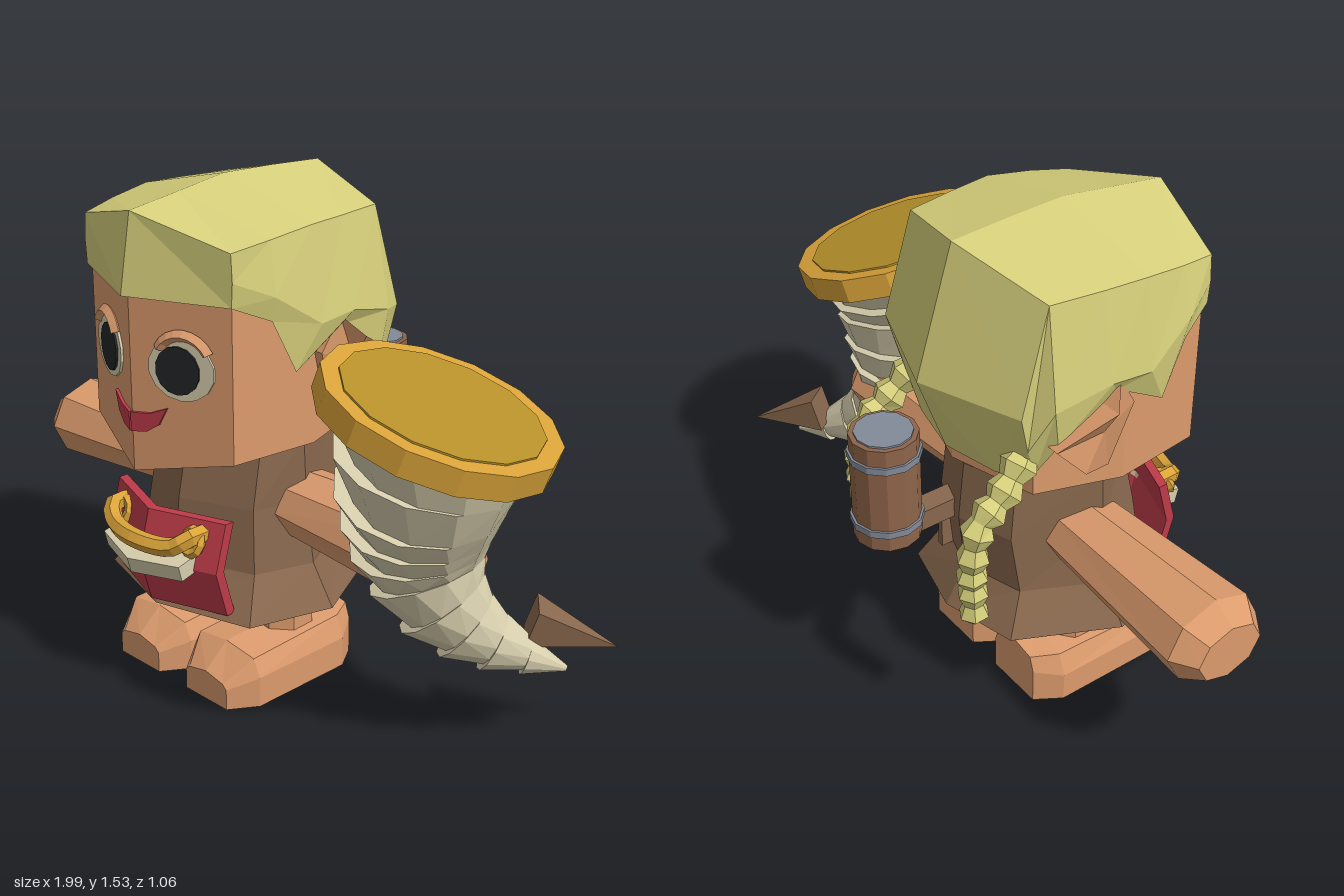
import * as THREE from 'three';

const mat = (name, color, side = THREE.FrontSide) =>
  new THREE.MeshStandardMaterial({ name, color, side, flatShading: true });
const V = (x, y, z) => new THREE.Vector3(x, y, z);

// Skin consecutive rows of points; closed rows are capped and turned outward.
function loft(rows, closed = true) {
  const tris = [], n = rows[0].length;
  const tri = (a, b, c) => tris.push([a, b, c]);
  for (let i = 0; i < rows.length - 1; i++) {
    for (let j = 0; j < (closed ? n : n - 1); j++) {
      const k = (j + 1) % n;
      tri(rows[i][j], rows[i][k], rows[i + 1][k]);
      tri(rows[i][j], rows[i + 1][k], rows[i + 1][j]);
    }
  }
  if (closed) {
    for (const [row, flip] of [[rows[0], true], [rows[rows.length - 1], false]]) {
      const c = row.reduce((s, p) => s.add(p), V(0, 0, 0)).divideScalar(n);
      row.forEach((p, j) => {
        const q = row[(j + 1) % n];
        flip ? tri(c, q, p) : tri(c, p, q);
      });
    }
    const volume = tris.reduce((s, [a, b, c]) => s + a.dot(b.clone().cross(c)), 0);
    if (volume < 0) tris.forEach(t => t.reverse());
  }
  const g = new THREE.BufferGeometry().setFromPoints(tris.flat());
  g.computeVertexNormals();
  return g;
}

// Full ring from the +x half of an outline that starts and ends on x = 0.
const mirrorRing = half =>
  [...half, ...half.slice(1, -1).reverse().map(p => V(-p.x, p.y, p.z))];

// Rings swept along a path; a step below 1 notches the outer side of the bend.
function sweep(points, radii, sides, ref, step = 1) {
  const curve = new THREE.CatmullRomCurve3(points);
  const rows = [];
  radii.forEach((r, i) => {
    const t = i / (radii.length - 1), c = curve.getPoint(t), d = curve.getTangent(t);
    const u = ref.clone().cross(d).normalize(), v = d.clone().cross(u);
    const ring = rr => Array.from({ length: sides }, (_, k) => {
      const a = (k / sides) * Math.PI * 2;
      return c.clone().addScaledVector(u, r - rr + rr * Math.cos(a)).addScaledVector(v, rr * Math.sin(a));
    });
    if (step !== 1 && i > 0) rows.push(ring(r * step));
    rows.push(ring(r));
  });
  return loft(rows);
}

// Box folded into a V around x = 0, optionally bulging at half height.
function foldedBox(w, h, d, slope, bulge = 0) {
  const g = new THREE.BoxGeometry(w, h, d, 2, 2, 1), p = g.attributes.position;
  for (let i = 0; i < p.count; i++)
    p.setZ(i, p.getZ(i) - slope * Math.abs(p.getX(i)) + bulge * (1 - 2 * Math.abs(p.getY(i)) / h));
  g.computeVertexNormals();
  return g;
}

function plate(points, depth) {
  const shape = new THREE.Shape(points.map(p => new THREE.Vector2(...p)));
  return new THREE.ExtrudeGeometry(shape, { depth, bevelEnabled: false });
}

export function createModel() {
  const skin = mat('skin', 0xdc9b6d), hairMat = mat('blondeHair', 0xd6cf7b, THREE.DoubleSide);
  const ivory = mat('ivory', 0xd7cead), gold = mat('gold', 0xdaa339), mead = mat('darkGold', 0xb7912b);
  const leather = mat('leather', 0x88674d), wood = mat('wood', 0x8e6449), red = mat('red', 0xbd3b48);
  const steel = mat('steel', 0x838b99), black = mat('black', 0x232527);

  const model = new THREE.Group();
  const body = new THREE.Group();
  body.name = 'character';
  body.position.x = -0.15;
  model.add(body);
  const add = (parent, name, geometry, material, x = 0, y = 0, z = 0) => {
    const m = new THREE.Mesh(geometry, material);
    m.name = name;
    m.position.set(x, y, z);
    parent.add(m);
    return m;
  };

  // Head, with a ridge down the middle of the face
  const headRing = (yf, ys, yb, k = 1) => mirrorRing([
    V(0, yf, 0.49 * k), V(0.3 * k, ys, 0.38 * k), V(0.33 * k, ys, 0.1 * k),
    V(0.27 * k, yb, -0.17 * k), V(0, yb, -0.25 * k)]);
  add(body, 'head', loft([headRing(0.735, 0.805, 0.83), headRing(1.28, 1.27, 1.2),
    headRing(1.4, 1.35, 1.35, 0.8)]), skin);

  // Hair cap: each row runs bottom, middle, top, crown
  const hairRows = [
    [[0.31, 1.26, 0.39], [0.31, 1.26, 0.39], [0.31, 1.26, 0.39], [0, 1.255, 0.515]],
    [[0.31, 1.26, 0.39], [0.315, 1.33, 0.39], [0.31, 1.41, 0.39], [0, 1.485, 0.475]],
    [[0.35, 1.21, 0.28], [0.365, 1.28, 0.28], [0.335, 1.43, 0.27], [0, 1.51, 0.3]],
    [[0.36, 1.05, 0.2], [0.39, 1.18, 0.13], [0.35, 1.45, 0.13], [0, 1.535, 0.13]],
    [[0.365, 1.15, 0.03], [0.385, 1.19, 0], [0.335, 1.45, 0], [0, 1.53, -0.05]],
    [[0.35, 1.03, -0.15], [0.36, 1.15, -0.17], [0.31, 1.45, -0.16], [0, 1.52, -0.24]],
    [[0.29, 0.92, -0.18], [0.31, 1.02, -0.22], [0.32, 1.14, -0.25], [0, 1.13, -0.36]],
    [[0.29, 0.92, -0.18], [0.26, 0.9, -0.2], [0.18, 0.88, -0.23], [0, 0.88, -0.27]],
  ].map(row => {
    const half = row.map(p => V(...p));
    return [...half, ...half.slice(0, -1).reverse().map(p => V(-p.x, p.y, p.z))];
  });
  add(body, 'hair', loft(hairRows, false), hairMat);

  // Tunic with flared skirt
  const tunicRing = (y, w, zf, zb) => mirrorRing([V(0, y, zf), V(w * 0.8, y, zf - 0.09),
    V(w, y, 0.08), V(w * 0.62, y, zb + 0.06), V(0, y, zb)]);
  add(body, 'tunic', loft([tunicRing(0.29, 0.39, 0.43, -0.28), tunicRing(0.41, 0.31, 0.35, -0.21),
    tunicRing(0.6, 0.28, 0.33, -0.23), tunicRing(0.79, 0.27, 0.29, -0.21),
    tunicRing(0.84, 0.18, 0.22, -0.12)]), leather);

  for (const s of [1, -1]) {
    const side = s > 0 ? 'left' : 'right';

    // Eye, lid and half of the mouth lie on one slanted half of the face
    const face = new THREE.Group();
    face.name = side + 'Face';
    face.position.z = 0.491;
    face.rotation.y = s * 0.35;
    body.add(face);
    const disc = r => new THREE.CylinderGeometry(r, r, 0.008, 14).rotateX(Math.PI / 2);
    add(face, side + 'Eye', disc(0.104).scale(1, 0.87, 1), ivory, s * 0.164, 1.062, 0.002);
    add(face, side + 'Pupil', disc(0.069).scale(1, 1.02, 1), black, s * 0.155, 1.06, 0.008);
    add(face, side + 'Eyelid', new THREE.TorusGeometry(0.085, 0.018, 4, 8, Math.PI * 0.7)
      .rotateZ(Math.PI * 0.15).scale(1, 0.95, 1), skin, s * 0.172, 1.08, 0.004);
    add(face, side + 'Mouth', plate([[0, 0.915], [s * 0.06, 0.92], [s * 0.117, 0.943],
      [s * 0.09, 0.89], [s * 0.05, 0.864], [0, 0.858]], 0.009), red);

    // Ear: [y, z, outer x], peaking just below the hair notch
    const ear = [[1.08, 0.1, 0.36], [1.18, 0.04, 0.37], [1.12, -0.01, 0.425],
      [1.03, -0.17, 0.37], [0.93, -0.08, 0.385], [0.88, 0.04, 0.335]];
    add(body, side + 'Ear', loft([ear.map(([y, z]) => V(s * 0.28, y, z)),
      ear.map(([y, z, x]) => V(s * x, y, z))]), skin);

    // Braid made of knots
    const braidPath = [[0.26, 0.98, -0.19], [0.28, 0.89, -0.28], [0.285, 0.82, -0.36],
      [0.285, 0.7, -0.385], [0.28, 0.6, -0.38], [0.28, 0.475, -0.375]].map(([x, y, z]) => V(s * x, y, z));
    const knots = Array.from({ length: 17 }, (_, i) => (i % 2 ? 0.057 : 0.037) * (1 - i * 0.014));
    knots[16] = 0.006;
    add(body, side + 'Braid', sweep(braidPath, knots, 6, V(1, 0, 0)), hairMat);

    // Arm ending in a blunt fist
    const armRing = (x, y, ry, rz) => Array.from({ length: 8 }, (_, k) => {
      const a = k * Math.PI / 4;
      return V(s * x, y + ry * Math.sin(a), 0.05 + rz * Math.cos(a));
    });
    add(body, side + 'Arm', loft([armRing(0.2, 0.58, 0.095, 0.125), armRing(0.78, 0.57, 0.13, 0.16),
      armRing(0.85, 0.565, 0.085, 0.11)]), skin);

    // Leg and foot
    add(body, side + 'Leg', new THREE.CylinderGeometry(0.1, 0.1, 0.2, 8).rotateY(Math.PI / 8),
      skin, s * 0.155, 0.25, 0.06);
    const footRing = (z, w, mid, top) => [[w, 0.005], [w, mid], [w * 0.82, top - 0.015], [0, top],
      [-w * 0.82, top - 0.015], [-w, mid], [-w, 0.005]].map(([x, y]) => V(x + s * 0.155, y, z));
    add(body, side + 'Foot', loft([footRing(0.375, 0.09, 0.07, 0.1), footRing(0.29, 0.145, 0.1, 0.17),
      footRing(-0.06, 0.145, 0.1, 0.185), footRing(-0.14, 0.095, 0.12, 0.185)]), skin);
  }

  // Thin folded pouch with gold handle and pale strip
  add(body, 'pouch', foldedBox(0.48, 0.29, 0.03, 0.35, 0.04), red, 0, 0.456, 0.43);
  const handle = new THREE.CatmullRomCurve3([V(-0.17, 0.56, 0.38), V(-0.17, 0.56, 0.44), V(-0.13, 0.53, 0.47),
    V(0, 0.525, 0.5), V(0.13, 0.53, 0.47), V(0.17, 0.56, 0.44), V(0.17, 0.56, 0.38)]);
  add(body, 'pouchHandle', new THREE.TubeGeometry(handle, 18, 0.028, 6), gold);
  for (const s of [1, -1])
    add(body, 'handleRing', new THREE.TorusGeometry(0.034, 0.016, 5, 10), gold, s * 0.16, 0.54, 0.418).rotation.x = -0.4;
  add(body, 'pouchStrip', foldedBox(0.34, 0.05, 0.07, 0.3), ivory, 0, 0.455, 0.49).rotation.x = 0.25;

  // Tankard carried on the back
  const mug = new THREE.Group();
  mug.name = 'tankard';
  mug.position.set(0.083, 0.77, -0.42);
  body.add(mug);
  add(mug, 'tankardBarrel', new THREE.CylinderGeometry(0.1, 0.1, 0.35, 12), wood);
  add(mug, 'tankardLid', new THREE.CylinderGeometry(0.085, 0.085, 0.01, 12), steel, 0, 0.176, 0);
  for (const y of [0.11, -0.115])
    add(mug, 'tankardBand', new THREE.CylinderGeometry(0.107, 0.107, 0.022, 12), steel, 0, y, 0);
  add(mug, 'tankardStrap', new THREE.BoxGeometry(0.07, 0.065, 0.2), leather, 0, -0.172, 0.15);
  add(body, 'beltPeg', new THREE.BoxGeometry(0.02, 0.11, 0.05), leather, 0.12, 0.465, -0.19);

  // Drinking horn made of stepped rings
  const hornPath = [[0.645, 0.98, 0.12], [0.615, 0.85, 0.125], [0.585, 0.72, 0.105], [0.58, 0.6, 0.085],
    [0.625, 0.48, 0.065], [0.7, 0.385, 0.015], [0.79, 0.32, -0.06], [0.912, 0.268, -0.16]].map(p => V(...p));
  const hornRadii = [0.272, 0.26, 0.24, 0.22, 0.198, 0.172, 0.146, 0.118, 0.09, 0.056, 0.01];
  add(model, 'horn', sweep(hornPath, hornRadii, 12, V(0, 0, 1), 0.87), ivory);

  // Horn rim and its filling share one tilted axis
  const rim = new THREE.Group();
  rim.name = 'hornRim';
  rim.position.set(0.657, 1.022, 0.125);
  rim.quaternion.setFromUnitVectors(V(0, 1, 0), V(0.3, 1, -0.15).normalize());
  model.add(rim);
  add(rim, 'rimBand', new THREE.CylinderGeometry(0.335, 0.335, 0.075, 14), gold);
  add(rim, 'drink', new THREE.CylinderGeometry(0.285, 0.285, 0.01, 14), mead, 0, 0.038, 0);

  // Spike at the end of the horn
  const base = V(0.81, 0.395, -0.125), tip = V(0.993, 0.32, -0.285);
  const axis = tip.clone().sub(base);
  const spike = add(model, 'hornSpike', new THREE.ConeGeometry(0.08, axis.length(), 4), leather);
  spike.position.copy(base).lerp(tip, 0.5);
  spike.quaternion.setFromUnitVectors(V(0, 1, 0), axis.normalize());

  return model;
}
